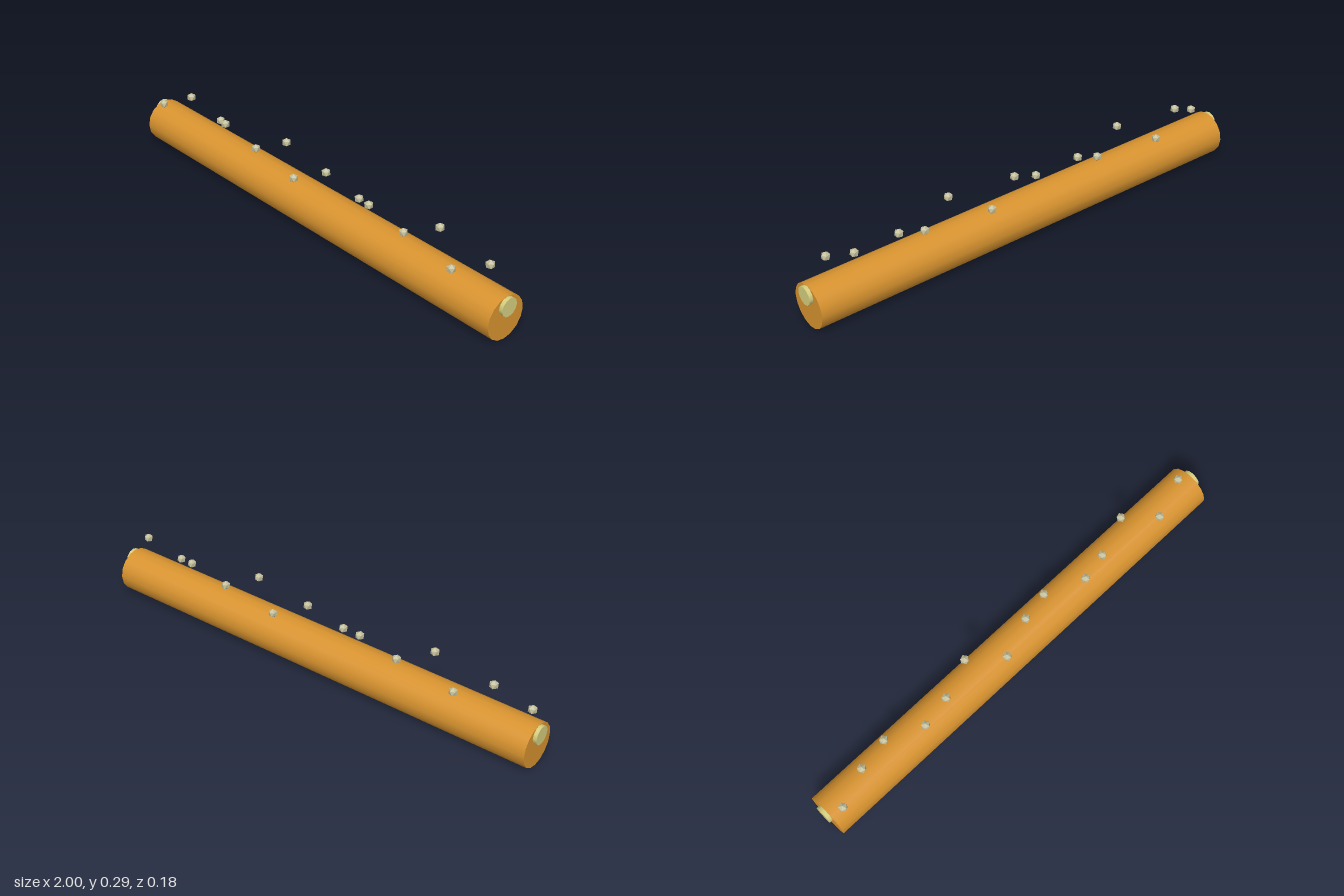
import * as THREE from 'three';

export function createModel() {
  const group = new THREE.Group();
  const material = (name, color) => {
    const m = new THREE.MeshStandardMaterial({ color });
    m.name = name;
    return m;
  };
  const orange = material('orange', 0xd8932f);
  const straw = material('pale straw', 0xd6ce7e);
  const stone = material('stone', 0xc2be9a);
  stone.flatShading = true;

  const add = (name, geometry, mat, x, y, z) => {
    const mesh = new THREE.Mesh(geometry, mat);
    mesh.name = name;
    mesh.position.set(x, y, z);
    group.add(mesh);
  };

  // Long round beam lying along x
  const beam = new THREE.CylinderGeometry(0.09, 0.09, 1.97, 16).rotateZ(Math.PI / 2);
  add('beam', beam, orange, 0, 0.09, 0);

  // Small caps set high on both ends
  const cap = new THREE.CylinderGeometry(0.038, 0.038, 0.016, 12).rotateZ(Math.PI / 2);
  for (const side of [-1, 1]) {
    add(side > 0 ? 'leftEndCap' : 'rightEndCap', cap, straw, side * 0.992, 0.141, 0);
  }

  // Faceted beads hovering above the beam: two heights, three rows in depth
  const bead = new THREE.IcosahedronGeometry(0.019, 0).rotateZ(-0.5536);
  for (let i = 0; i < 14; i++) {
    const y = i % 2 ? 0.269 : 0.199;
    const z = (1 - (i % 3)) * 0.0425;
    add('bead' + (i + 1), bead, stone, -0.931 + i * 0.1408, y, z);
  }
  return group;
}
